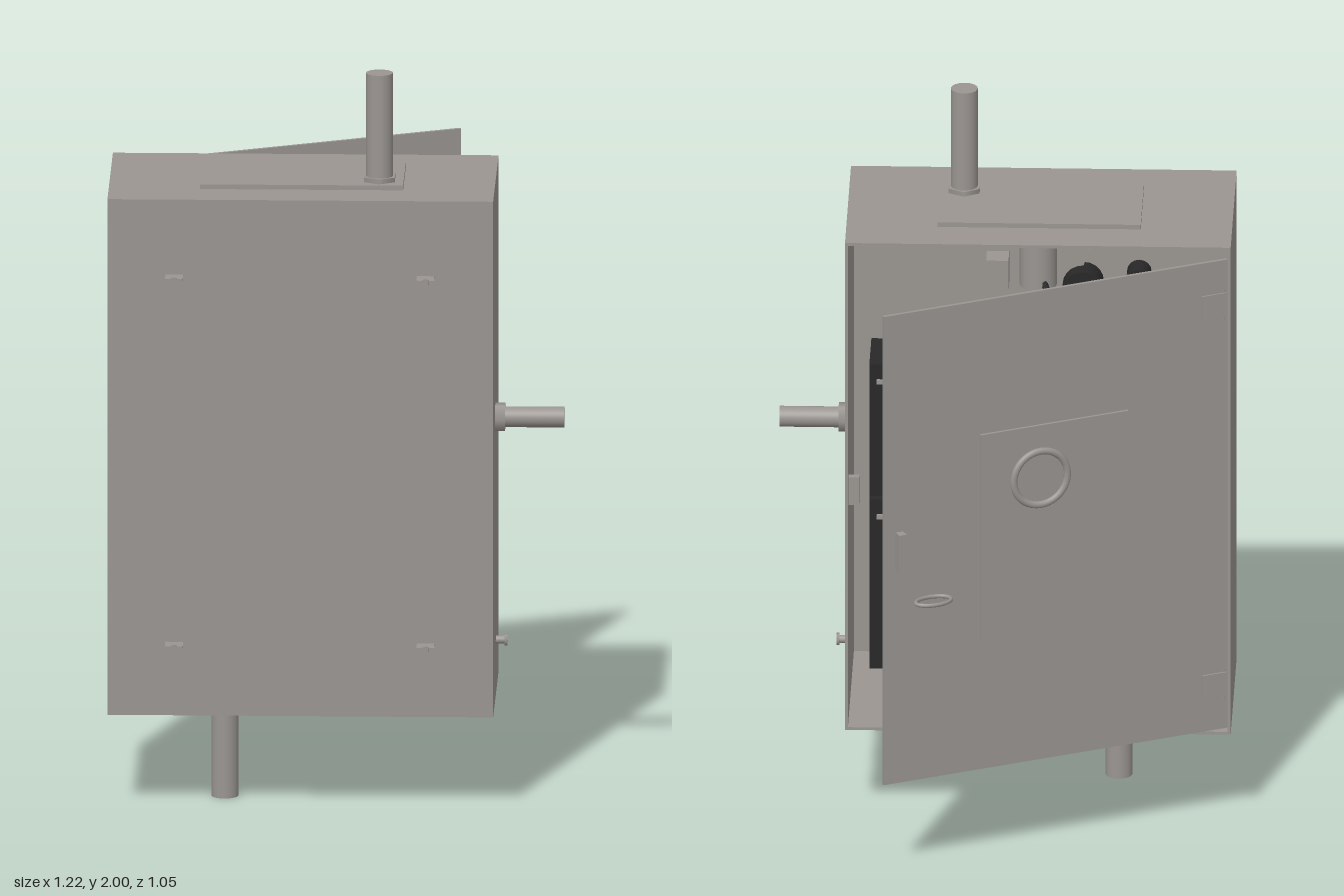
import * as THREE from 'three';

const mat = (name, color, side = THREE.FrontSide) => {
  const m = new THREE.MeshStandardMaterial({ color, side });
  m.name = name;
  return m;
};

export function createModel() {
  const steel = mat('steel grey', 0x9a9591);
  const black = mat('black', 0x282828);
  const root = new THREE.Group();

  const add = (name, geo, material, x, y, z, parent = root) => {
    const m = new THREE.Mesh(geo, material);
    m.name = name;
    m.position.set(x, y, z);
    parent.add(m);
    return m;
  };
  const box = (name, material, x0, x1, y0, y1, z0, z1, parent = root) =>
    add(name, new THREE.BoxGeometry(x1 - x0, y1 - y0, z1 - z0), material,
      (x0 + x1) / 2, (y0 + y1) / 2, (z0 + z1) / 2, parent);
  const cyl = (name, material, r, h, sides, x, y, z, axis = 'y', parent = root) => {
    const geo = new THREE.CylinderGeometry(r, r, h, sides);
    if (axis === 'x') geo.rotateZ(-Math.PI / 2);
    if (axis === 'z') geo.rotateX(Math.PI / 2);
    return add(name, geo, material, x, y, z, parent);
  };
  const cable = (name, material, r, points) => add(name, new THREE.TubeGeometry(
    new THREE.CatmullRomCurve3(points.map(p => new THREE.Vector3(...p))), 20, r, 6), material, 0, 0, 0);

  // Cabinet shell, open towards -z
  const X0 = -0.61, X1 = 0.425, Y0 = 0.265, Y1 = 1.69, Z0 = -0.083, Z1 = 0.435, T = 0.008;
  box('frontWall', steel, X0, X1, Y0, Y1, Z1 - T, Z1);
  box('rightWall', steel, X0, X0 + T, Y0, Y1, Z0, Z1 - T);
  box('leftWall', steel, X1 - T, X1, Y0, Y1, Z0, Z1 - T);
  box('roof', steel, X0 + T, X1 - T, Y1 - T, Y1, Z0, Z1 - T);
  box('floor', steel, X0 + T, X1 - T, Y0, Y0 + T, Z0, Z1 - T);

  // Gland plates with conduits
  box('topGlandPlate', steel, -0.365, 0.18, Y1, 1.703, 0.033, 0.315);
  box('bottomGlandPlate', steel, -0.365, 0.18, 0.252, Y0, 0.033, 0.315);
  cyl('topNut', steel, 0.048, 0.014, 6, 0.115, 1.709, 0.255);
  cyl('topConduit', steel, 0.036, 0.32, 32, 0.115, 1.84, 0.255);
  cyl('bottomNut', steel, 0.046, 0.012, 6, -0.3, 0.247, 0.255);
  cyl('bottomConduit', steel, 0.036, 0.26, 32, -0.3, 0.13, 0.255);
  cyl('sideNut', steel, 0.04, 0.027, 6, 0.438, 1.045, 0.23, 'x');
  cyl('sideConduit', steel, 0.028, 0.185, 32, 0.5175, 1.045, 0.228, 'x');
  cyl('groundStud', steel, 0.011, 0.032, 16, 0.44, 0.417, 0.178, 'x');
  cyl('groundNut', steel, 0.017, 0.008, 6, 0.452, 0.417, 0.178, 'x');

  // Wall fixing tabs and bolts
  for (const x of [-0.43, 0.245]) for (const y of [1.485, 0.47]) {
    box('fixingTab', steel, x - 0.024, x + 0.024, y - 0.003, y + 0.003, 0.455, 0.506);
    cyl('fixingBolt', steel, 0.011, 0.009, 6, x, y, 0.516, 'z');
  }

  // Open door, built flat and swung on its hinge line
  const door = new THREE.Group();
  door.name = 'door';
  door.position.set(-0.6, 0, -0.088);
  door.rotation.y = 0.428;
  root.add(door);
  box('doorPanel', steel, 0, 1, 0.29, 1.66, -0.005, 0.005, door);
  box('doorPlate', steel, 0.29, 0.72, 0.665, 1.27, -0.013, -0.005, door);
  const windowRing = add('windowRing', new THREE.TorusGeometry(0.078, 0.01, 10, 40), steel, 0.55, 1.12, -0.02, door);
  windowRing.scale.z = 0.9;
  box('handle', steel, 0.949, 0.971, 0.92, 1.03, -0.043, -0.018, door);
  const pullGeo = new THREE.TorusGeometry(0.05, 0.006, 8, 32);
  pullGeo.rotateX(Math.PI / 2);
  pullGeo.scale(1, 1, 0.58);
  add('pullRing', pullGeo, steel, 0.869, 0.82, -0.037, door);
  for (const y of [1.53, 0.42]) {
    box('hingeLeaf', steel, 0.005, 0.075, y - 0.035, y + 0.035, -0.01, -0.005, door);
    cyl('hingePin', steel, 0.011, 0.09, 12, -0.588, y, -0.088);
  }
  box('latchCatch', steel, 0.385, 0.415, 0.935, 1.015, -0.108, -0.088);

  // Stacked black switch units with terminal strips and levers
  for (const [y0, y1] of [[0.3, 0.795], [0.805, 1.19]]) {
    box('switchUnit', black, -0.21, 0.37, y0, y1, 0.25, 0.426);
    box('terminalStrip', steel, -0.19, 0.35, y1 - 0.055, y1 - 0.043, 0.243, 0.25);
    for (let i = 0; i < 6; i++)
      cyl('terminal', steel, 0.011, 0.014, 8, -0.16 + i * 0.095, y1 - 0.049, 0.242, 'z');
    const y = y1 - 0.2;
    box('leverBase', steel, -0.005, 0.065, y - 0.05, y + 0.05, 0.23, 0.25);
    box('lever', steel, 0.015, 0.045, y - 0.015, y + 0.05, 0.185, 0.23);
  }

  // Small devices beside the units
  for (const y of [1.29, 1.03, 0.65]) {
    box('breaker', steel, -0.33, -0.26, y - 0.055, y + 0.055, 0.32, 0.426);
    box('breakerLever', steel, -0.31, -0.28, y - 0.01, y + 0.04, 0.28, 0.32);
  }
  for (const y of [1.16, 0.82]) add('indicator', new THREE.SphereGeometry(0.03, 16, 10), steel, -0.295, y, 0.32);
  cable('sideCable', black, 0.009, [[-0.32, 1.18, 0.32], [-0.36, 1.08, 0.3], [-0.37, 0.95, 0.3], [-0.33, 0.84, 0.32]]);

  // Upper control gear
  cyl('capacitor', steel, 0.05, 0.19, 24, -0.08, 1.48, 0.36);
  const relay = box('relay', steel, -0.2, -0.11, 1.38, 1.5, 0.37, 0.426);
  relay.rotation.z = 0.35;
  cyl('largeKnob', black, 0.055, 0.07, 20, -0.2, 1.38, 0.36, 'z');
  cyl('smallKnob', black, 0.033, 0.07, 16, -0.35, 1.41, 0.36, 'z');
  box('terminalBlock', steel, 0, 0.06, 1.36, 1.45, 0.36, 0.426);
  cable('controlCable', black, 0.009, [[-0.09, 1.42, 0.33], [-0.12, 1.36, 0.29], [-0.18, 1.27, 0.29], [-0.24, 1.2, 0.34]]);
  cyl('roofGland', steel, 0.046, 0.014, 6, 0.115, 1.675, 0.255);

  // Door stay rod just outside the opening
  cyl('stayRod', steel, 0.003, 0.09, 8, 0.038, 0.58, -0.1, 'x');
  for (const x of [-0.028, 0.102]) add('stayEnd', new THREE.SphereGeometry(0.005, 8, 6), steel, x, 0.58, -0.106);

  return root;
}
